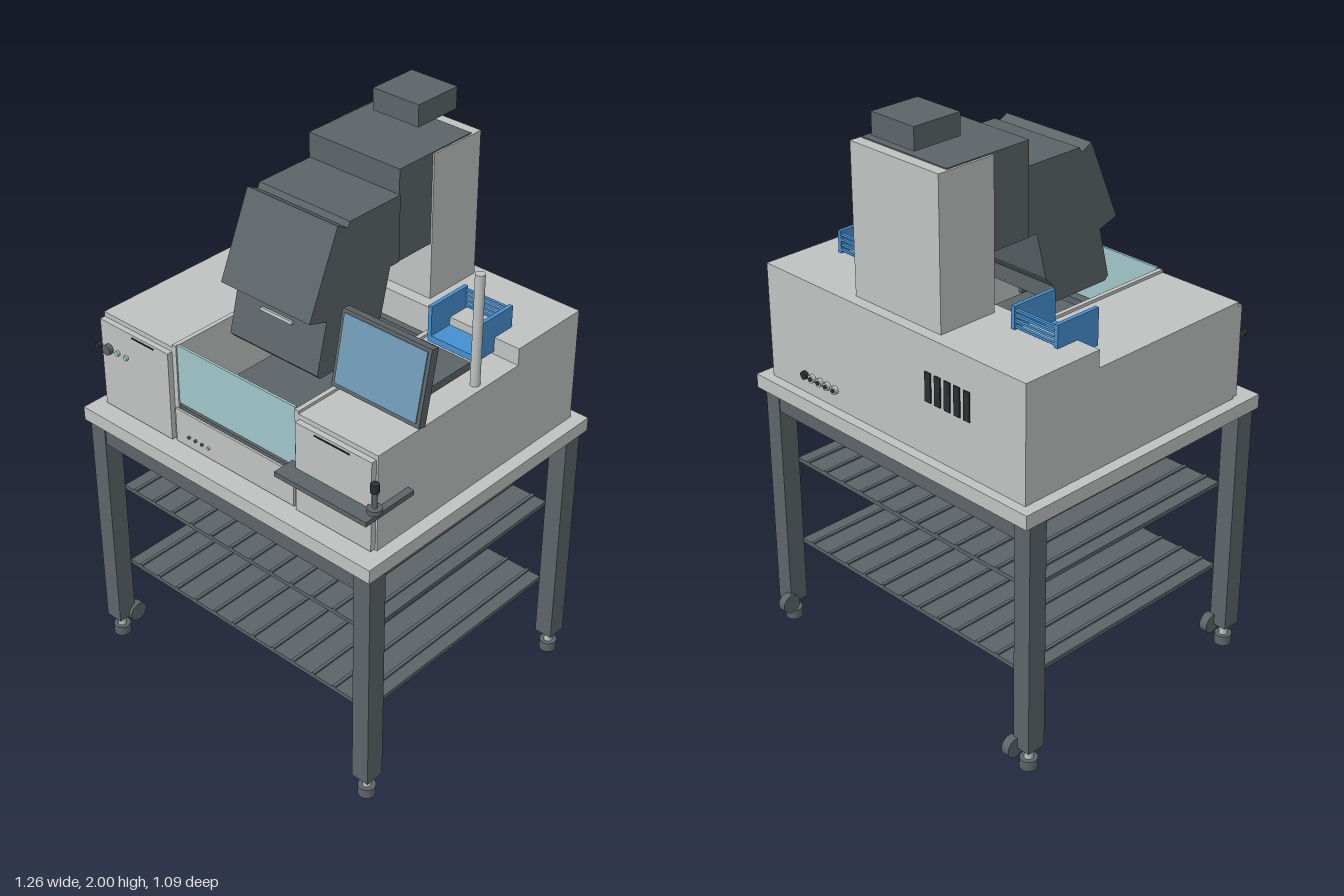
import * as THREE from 'three';

export function createModel() {
  const root = new THREE.Group();
  const mat = (name, color, side = THREE.FrontSide) => {
    const m = new THREE.MeshStandardMaterial({ color, side });
    m.name = name;
    return m;
  };
  const light = mat('light grey', 0xc0c2c2);
  const dark = mat('slate grey', 0x5c6467);
  const black = mat('black', 0x2b2e30);
  const blue = mat('rack blue', 0x4590d0);
  const glass = mat('pale teal glass', 0xa0c5c9);
  const screen = mat('screen blue', 0x6f99b5);

  const add = (name, geo, material, parent = root) => {
    const m = new THREE.Mesh(geo, material);
    m.name = name;
    parent.add(m);
    return m;
  };
  // Box given by its minimum and maximum on each axis
  const box = (name, material, x0, x1, y0, y1, z0, z1, parent = root) => {
    const m = add(name, new THREE.BoxGeometry(x1 - x0, y1 - y0, z1 - z0), material, parent);
    m.position.set((x0 + x1) / 2, (y0 + y1) / 2, (z0 + z1) / 2);
    return m;
  };
  // Cylinder along a chosen axis, placed by its centre
  const cyl = (name, material, r, len, x, y, z, axis = 'y', parent = root) => {
    const g = new THREE.CylinderGeometry(r, r, len, 24);
    if (axis === 'x') g.rotateZ(Math.PI / 2);
    if (axis === 'z') g.rotateX(Math.PI / 2);
    const m = add(name, g, material, parent);
    m.position.set(x, y, z);
    return m;
  };

  // Table: top, legs with levelling feet and casters, rails
  box('tableTop', light, -0.63, 0.628, 0.92, 0.97, -0.53, 0.54);
  for (const s of [-1, 1]) {
    for (const z of [0.49, -0.468]) {
      const leg = new THREE.Group();
      leg.name = 'leg';
      root.add(leg);
      box('legPost', dark, s * 0.585 - 0.033, s * 0.585 + 0.033, 0.08, 0.92, z - 0.035, z + 0.035, leg);
      cyl('footPad', dark, 0.03, 0.036, s * 0.585, 0.018, z, 'y', leg);
      cyl('footStem', light, 0.015, 0.05, s * 0.585, 0.06, z, 'y', leg);
      cyl('caster', dark, 0.035, 0.03, s * 0.555, 0.085, z - 0.042, 'x', leg);
    }
  }
  box('frontRail', dark, -0.555, 0.555, 0.845, 0.912, 0.46, 0.52);
  box('backRail', dark, -0.555, 0.555, 0.845, 0.912, -0.5, -0.44);

  // Ribbed shelves
  for (const y of [0.305, 0.628]) {
    box('shelf', dark, -0.553, 0.553, y, y + 0.015, -0.435, 0.455);
    for (let i = 0; i < 12; i++) {
      const x = -0.5 + i / 11;
      box('shelfRib', dark, x - 0.006, x + 0.006, y + 0.015, y + 0.021, -0.435, 0.455);
    }
  }

  // Machine body
  box('backHousing', light, -0.59, 0.582, 0.97, 1.375, -0.495, -0.19);
  box('rightWing', light, -0.59, -0.272, 0.97, 1.315, -0.19, 0.455);
  box('leftWing', light, 0.268, 0.582, 0.97, 1.315, -0.19, 0.455);
  box('rightWingDoor', light, -0.588, -0.275, 0.975, 1.298, 0.455, 0.475);
  box('leftWingDoor', light, 0.272, 0.575, 0.975, 1.298, 0.455, 0.475);
  box('doorGrip', black, -0.44, -0.34, 1.285, 1.289, 0.474, 0.478);
  box('doorGrip', black, 0.35, 0.49, 1.285, 1.289, 0.474, 0.478);

  // Open work bay with deck and front glass
  box('bayFloor', light, -0.272, 0.268, 0.97, 1.09, -0.19, 0.46);
  for (const x of [-0.265, 0.26]) box('bayLiner', light, x - 0.008, x + 0.008, 1.09, 1.325, -0.16, 0.455);
  box('deck', dark, -0.23, 0.23, 1.09, 1.12, -0.16, 0.375);
  box('deckBar', dark, -0.23, 0.23, 1.09, 1.13, 0.395, 0.43);
  box('bayRearBeam', dark, -0.247, 0.247, 1.27, 1.3, -0.16, -0.135);
  box('frontPanel', light, -0.26, 0.255, 0.975, 1.1, 0.46, 0.468);
  box('glassSill', dark, -0.245, 0.24, 1.103, 1.115, 0.44, 0.462);
  box('frontGlass', glass, -0.255, 0.25, 1.115, 1.33, 0.443, 0.452);
  for (let i = 0; i < 4; i++)
    cyl('statusLight', i < 3 ? dark : glass, 0.005, 0.008, -0.2 + i * 0.029, 1.015, 0.471, 'z');

  // Front control buttons
  cyl('powerButton', black, 0.01, 0.018, -0.595, 1.2, 0.483, 'z');
  cyl('stopButton', dark, 0.018, 0.018, -0.552, 1.2, 0.483, 'z');
  cyl('greenButton', glass, 0.009, 0.01, -0.511, 1.2, 0.479, 'z');
  cyl('greenButton', glass, 0.009, 0.01, -0.471, 1.2, 0.479, 'z');

  // Rear vents and connectors
  for (let i = 0; i < 5; i++) {
    const x = -0.36 + i * 0.042;
    box('rearVent', black, x, x + 0.025, 1.16, 1.26, -0.5, -0.493);
    cyl('rearConnector', i < 4 ? light : black, 0.014, 0.016, 0.262 + i * 0.037, 1.035, -0.5, 'z');
    if (i < 4) cyl('connectorSocket', black, 0.008, 0.004, 0.262 + i * 0.037, 1.035, -0.508, 'z');
  }

  // Rear column, cap and floating top module
  box('column', light, -0.195, 0.19, 1.375, 1.884, -0.455, -0.233);
  box('columnHood', dark, -0.187, 0.184, 1.572, 1.888, -0.415, -0.08);
  box('topModule', dark, -0.095, 0.09, 1.925, 2, -0.455, -0.272);

  // Inspection head: side outline (z, y) extruded across the width
  const side = [[0.196, 1.808], [0.32, 1.527], [0.245, 1.503], [0.288, 1.33], [0.275, 1.315],
    [0.037, 1.315], [0.037, 1.37], [0.0, 1.41], [-0.04, 1.572], [-0.082, 1.572],
    [-0.082, 1.803], [0.143, 1.803], [0.153, 1.785]];
  const head = new THREE.ExtrudeGeometry(
    new THREE.Shape(side.map(([z, y]) => new THREE.Vector2(z, y))),
    { depth: 0.371, bevelEnabled: false });
  head.translate(0, 0, -0.187).rotateY(-Math.PI / 2);
  add('inspectionHead', head, dark);
  const grip = box('headHandle', light, -0.07, 0.062, 1.45, 1.46, 0.255, 0.268);
  grip.rotation.x = -0.24;

  // Tilted monitor with rear plate
  const monitor = new THREE.Group();
  monitor.name = 'monitor';
  monitor.position.set(0.427, 1.457, 0.26);
  monitor.rotation.x = -0.2;
  root.add(monitor);
  box('monitorCase', dark, -0.172, 0.172, -0.127, 0.127, -0.016, 0.014, monitor);
  box('monitorScreen', screen, -0.16, 0.16, -0.113, 0.116, 0.014, 0.018, monitor);
  box('monitorPlate', dark, 0.367, 0.555, 1.386, 1.412, 0.013, 0.205);

  // Signal pole
  cyl('signalPole', light, 0.016, 0.385, 0.55, 1.5075, -0.02);

  // Blue cassette racks
  for (const x of [-0.405, 0.39]) {
    const rack = new THREE.Group();
    rack.name = 'cassetteRack';
    rack.position.x = x;
    root.add(rack);
    box('rackBase', blue, -0.096, 0.096, 1.325, 1.347, -0.275, -0.1, rack);
    for (const s of [-1, 1])
      box('rackSide', blue, s * 0.089 - 0.007, s * 0.089 + 0.007, 1.325, 1.452, -0.275, -0.1, rack);
    for (let i = 0; i < 5; i++)
      box('rackBar', blue, -0.085, 0.085, 1.364 + i * 0.018, 1.372 + i * 0.018, -0.274, -0.264, rack);
  }

  // Side tray with joystick
  box('tray', dark, 0.238, 0.606, 1.115, 1.132, 0.32, 0.533);
  cyl('joystickBase', dark, 0.024, 0.016, 0.59, 1.14, 0.477);
  cyl('joystickStem', dark, 0.008, 0.06, 0.59, 1.178, 0.477);
  cyl('joystickKnob', black, 0.014, 0.03, 0.59, 1.218, 0.477);
  return root;
}
